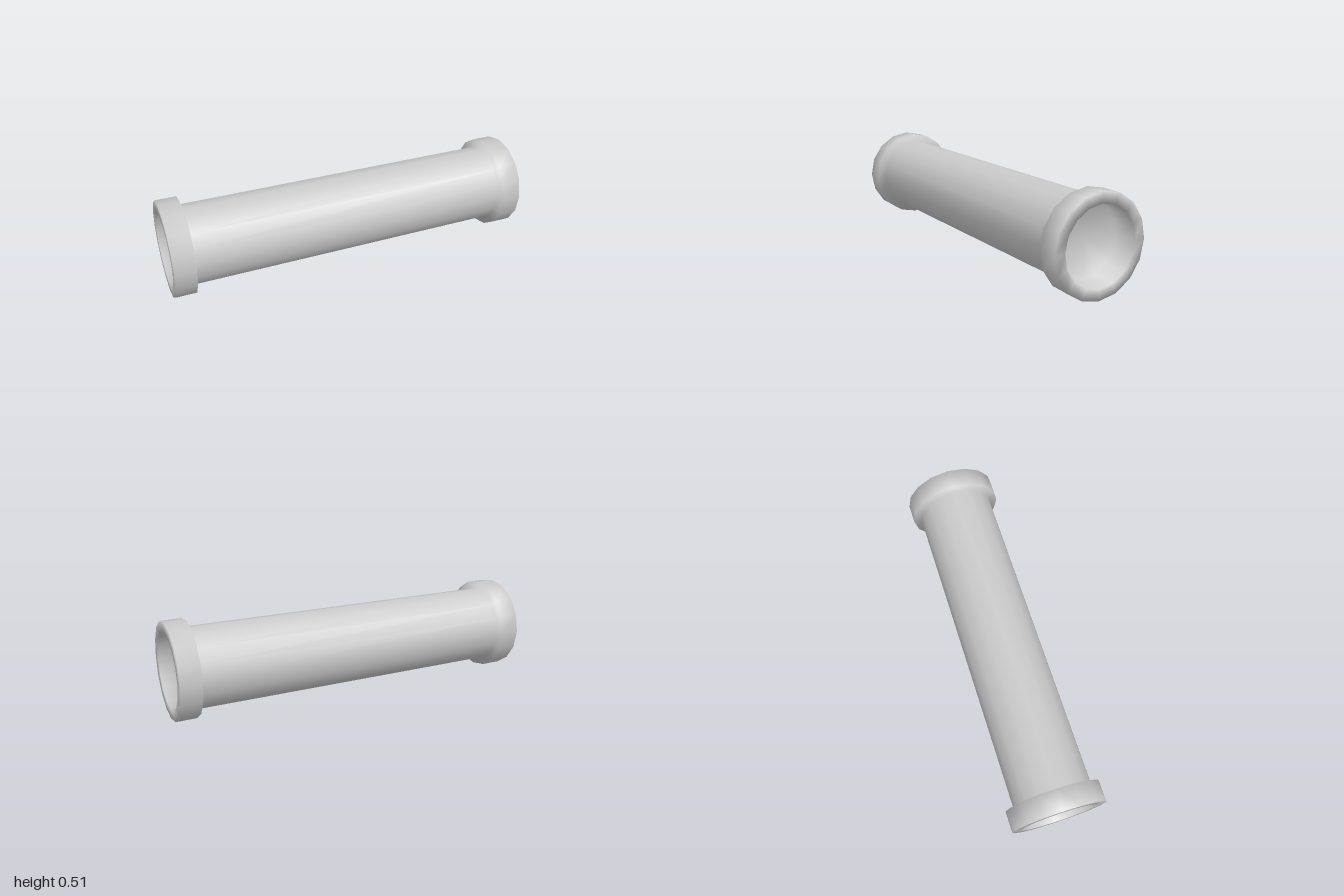
import * as THREE from 'three';

export function createModel() {
  const group = new THREE.Group();
  const material = new THREE.MeshStandardMaterial({ color: 0xcccccc });

  const radius = 0.257;
  // Half profile (radius, axial position): recess floor, lip, collar, step to the tube
  const half = [
    [0, 0.88], [0.19, 0.88], [0.2, 1], [radius, 1], [radius, 0.89], [0.213, 0.88],
  ];
  const near = half.map(([r, a]) => new THREE.Vector2(r, -a));
  const far = half.map(([r, a]) => new THREE.Vector2(r, a)).reverse();

  // One smooth 16-sided surface, laid along x
  const geometry = new THREE.LatheGeometry([...near, ...far], 16);
  geometry.rotateZ(-Math.PI / 2);

  const pipe = new THREE.Mesh(geometry, material);
  pipe.name = 'collaredPipe';
  pipe.position.y = radius;
  group.add(pipe);
  return group;
}
